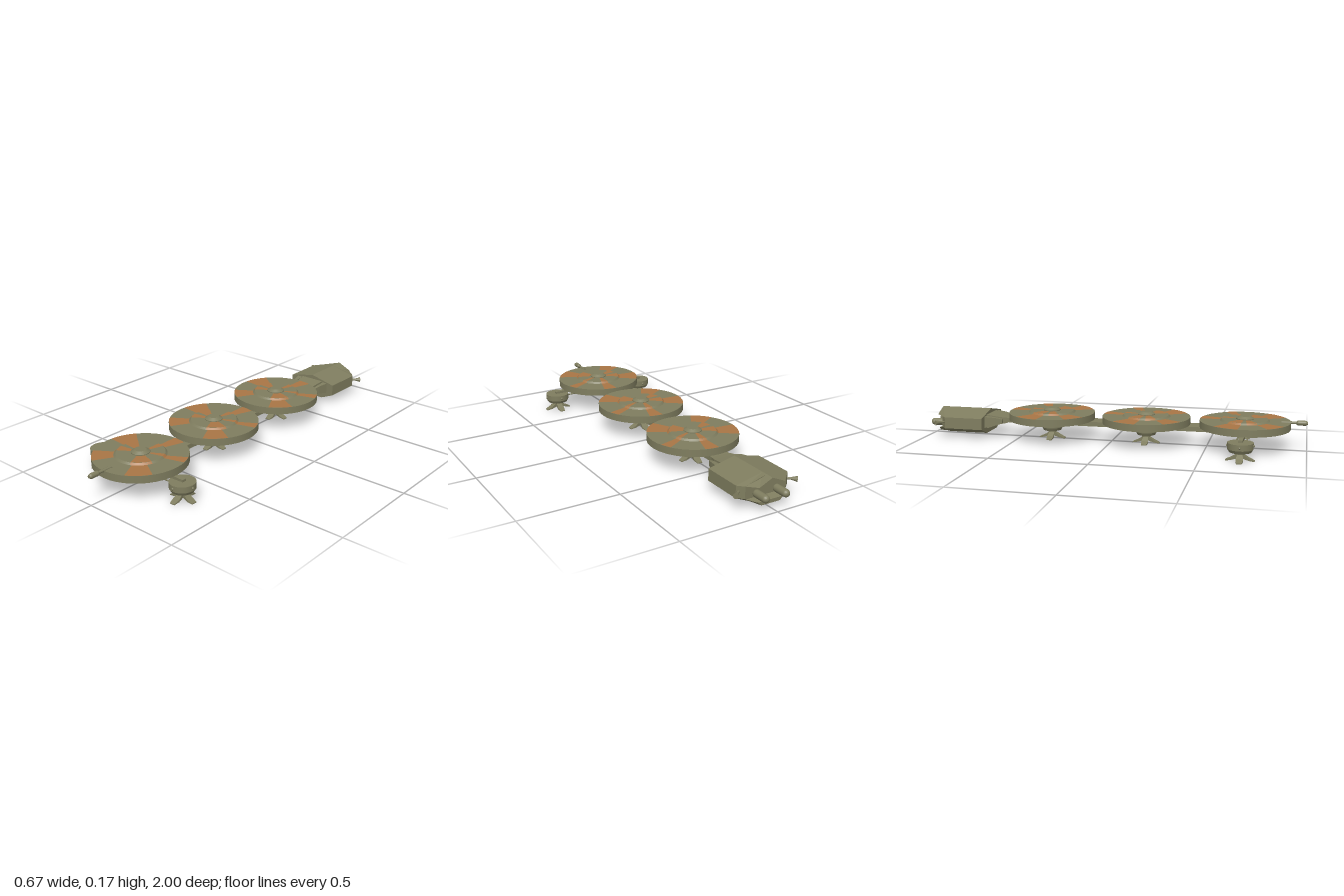
import * as THREE from 'three';

const olive = new THREE.MeshStandardMaterial({ color: 0x7f7d5f });
olive.name = 'olive hull';
const orange = new THREE.MeshStandardMaterial({ color: 0xa87545 });
orange.name = 'orange paint';

const rad = THREE.MathUtils.degToRad;

function add(parent, name, geo, x = 0, y = 0, z = 0, mat = olive) {
  const m = new THREE.Mesh(geo, mat);
  m.name = name;
  m.position.set(x, y, z);
  parent.add(m);
  return m;
}

// Upright drum between two heights
function drum(parent, name, rTop, rBottom, y0, y1, sides = 24) {
  return add(parent, name, new THREE.CylinderGeometry(rTop, rBottom, y1 - y0, sides), 0, (y0 + y1) / 2, 0);
}

// Faceted solid through sections [z, [[x, y], ...]], z falling, loops anticlockwise from +z
function loft(sections) {
  const p = [];
  const rings = sections.map(([z, loop]) => loop.map(([x, y]) => [x, y, z]));
  const n = rings[0].length;
  for (let s = 0; s < rings.length - 1; s++) {
    for (let i = 0; i < n; i++) {
      const j = (i + 1) % n;
      const [a, b, c, d] = [rings[s][i], rings[s][j], rings[s + 1][i], rings[s + 1][j]];
      p.push(...a, ...c, ...b, ...b, ...c, ...d);
    }
  }
  const first = rings[0], last = rings[rings.length - 1];
  for (let i = 1; i < n - 1; i++) {
    p.push(...first[0], ...first[i], ...first[i + 1]);
    p.push(...last[0], ...last[i + 1], ...last[i]);
  }
  const g = new THREE.BufferGeometry();
  g.setAttribute('position', new THREE.Float32BufferAttribute(p, 3));
  g.computeVertexNormals();
  return g;
}

const rect = (w, y0, y1, cx = 0) => [[cx + w, y0], [cx + w, y1], [cx - w, y1], [cx - w, y0]];

// Round saucer with a raised deck, cap and painted sectors (degrees clockwise from the rear)
function saucer(z) {
  const g = new THREE.Group();
  g.name = 'saucer';
  g.position.z = z;
  drum(g, 'saucerDisc', 0.228, 0.228, 0.105, 0.142, 40);
  drum(g, 'raisedDeck', 0.116, 0.125, 0.142, 0.151, 40);
  drum(g, 'capBase', 0.045, 0.045, 0.151, 0.155);
  drum(g, 'cap', 0.028, 0.045, 0.155, 0.166);
  const patch = (name, r0, r1, y, a0, a1) => {
    const geo = new THREE.RingGeometry(r0, r1, 8, 1, rad(90 - a1), rad(a1 - a0));
    add(g, name, geo.rotateX(-Math.PI / 2), 0, y, 0, orange);
  };
  for (const [a0, a1] of [[0, 18], [60, 74], [120, 152], [210, 238], [275, 308]]) {
    patch('outerStripe', 0.126, 0.227, 0.1428, a0, a1);
  }
  for (const [a0, a1] of [[0, 18], [60, 74], [108, 156], [237, 262], [275, 308]]) {
    patch('deckStripe', 0.046, 0.116, 0.1518, a0, a1);
    const bevel = new THREE.CylinderGeometry(0.1168, 0.1258, 0.009, 8, 1, true, rad(180 - a1), rad(a1 - a0));
    add(g, 'bevelStripe', bevel, 0, 0.1468, 0, orange);
  }
  return g;
}

// Landing foot with four splayed toes
const toeGeo = loft([
  [0.070, rect(0.013, 0, 0.004)],
  [0.042, rect(0.018, 0.006, 0.016)],
  [0.012, rect(0.012, 0.014, 0.036)],
]);
function foot() {
  const g = new THREE.Group();
  g.name = 'foot';
  drum(g, 'ankle', 0.017, 0.017, 0.025, 0.048, 16);
  drum(g, 'ankleCollar', 0.022, 0.022, 0.033, 0.04, 16);
  for (let i = 0; i < 4; i++) add(g, 'toe', toeGeo).rotation.y = i * Math.PI / 2;
  return g;
}

// Drum-shaped pod standing on a foot
function pod(name, x, z, r, top) {
  const g = new THREE.Group();
  g.name = name;
  g.position.set(x, 0, z);
  drum(g, 'podDrum', r, r, 0.06, top);
  drum(g, 'podBase', r, r * 0.86, 0.045, 0.06);
  g.add(foot());
  return g;
}

// Slim gun along +z with its muzzle at the origin
function gun(name, length, r) {
  const g = new THREE.Group();
  g.name = name;
  add(g, 'barrel', new THREE.CylinderGeometry(r * 0.55, r * 0.55, length, 10).rotateX(Math.PI / 2), 0, 0, -length / 2);
  add(g, 'muzzle', new THREE.CapsuleGeometry(r, length * 0.25, 5, 12).rotateX(Math.PI / 2), 0, 0, -length * 0.125 - r);
  return g;
}

export function createModel() {
  const model = new THREE.Group();
  model.name = 'saucerTrain';

  for (const z of [-0.328, 0.183, 0.69]) model.add(saucer(z));

  // Spine beam with a blunt tapered nose
  add(model, 'spine', loft([
    [0.79, rect(0.03, 0.088, 0.106)],
    [0.74, rect(0.05, 0.082, 0.106)],
    [-0.6, rect(0.05, 0.082, 0.106)],
  ]));
  for (const z of [-0.328, 0.183]) model.add(pod('centrePod', 0, z, 0.055, 0.105));

  // Front guns
  const upper = gun('upperGun', 0.13, 0.013);
  upper.position.set(0, 0.142, 1);
  const lower = gun('lowerGun', 0.1, 0.009);
  lower.position.set(0, 0.09, 0.86);
  model.add(upper, lower);

  // Outrigger pods, struts and rods
  for (const s of [-1, 1]) {
    const p = pod('outriggerPod', s * 0.267, 0.69, 0.063, 0.09);
    for (const [nx, nz] of [[s, 0], [0, 1], [0, -1]]) {
      add(p, 'podNub', new THREE.SphereGeometry(0.006, 8, 6), nx * 0.063, 0.075, nz * 0.063);
    }
    model.add(p);
    const strut = loft([
      [0.278, rect(0.010, 0.088, 0.101)],
      [0.2, rect(0.014, 0.09, 0.106)],
      [0.04, rect(0.014, 0.09, 0.106)],
    ]);
    add(model, 'strut', strut, 0, 0, 0.69).rotation.y = s * Math.PI / 2;
    for (const dz of [-0.025, 0.025]) {
      const rod = new THREE.CylinderGeometry(0.004, 0.004, 0.18, 8).rotateZ(Math.PI / 2);
      add(model, 'rod', rod, s * 0.13, 0.079, 0.69 + dz);
    }
  }

  // Rear hull: ridged roof, upright sides, chamfered belly
  const hullLoop = (w) => [[w, 0.052], [w, 0.112], [0, 0.144], [-w, 0.112], [-w, 0.052], [-w / 2, 0.022], [w / 2, 0.022]];
  add(model, 'rearHull', loft([
    [-0.675, hullLoop(0.142)],
    [-0.884, hullLoop(0.142)],
    [-0.912, hullLoop(0.112)],
  ]));
  const roof = (w) => [[w, 0.112], [0, 0.144], [-w, 0.112]];
  add(model, 'roofOverhang', loft([[-0.884, roof(0.142)], [-0.955, roof(0.07)]]));
  add(model, 'bellyOverhang', loft([
    [-0.9, [[0.12, 0.052], [-0.12, 0.052], [-0.06, 0.022], [0.06, 0.022]]],
    [-0.95, [[0.07, 0.04], [-0.07, 0.04], [-0.05, 0.022], [0.05, 0.022]]],
  ]));

  // Neck joining hull and spine
  add(model, 'neck', loft([
    [-0.565, rect(0.05, 0.078, 0.106)],
    [-0.60, rect(0.06, 0.072, 0.110)],
    [-0.68, rect(0.068, 0.045, 0.122)],
  ]));
  for (const s of [-1, 1]) {
    add(model, 'neckProng', loft([
      [-0.585, rect(0.006, 0.08, 0.102, s * 0.072)],
      [-0.62, rect(0.009, 0.068, 0.11, s * 0.08)],
      [-0.68, rect(0.014, 0.055, 0.116, s * 0.088)],
    ]));

    // Rear thrusters
    add(model, 'thruster', new THREE.CapsuleGeometry(0.019, 0.06, 6, 14).rotateX(Math.PI / 2), s * 0.055, 0.068, -0.951);

    // Flared guns at the rear corners
    const g = new THREE.Group();
    g.name = 'cornerGun';
    g.position.set(s * 0.115, 0.085, -0.875);
    g.rotation.y = Math.PI - s * rad(48);
    add(g, 'gunBarrel', new THREE.CylinderGeometry(0.006, 0.006, 0.05, 10).rotateX(Math.PI / 2), 0, 0, 0.025);
    add(g, 'gunFlare', new THREE.CylinderGeometry(0.014, 0.006, 0.03, 12).rotateX(Math.PI / 2), 0, 0, 0.058);
    model.add(g);
  }
  return model;
}
